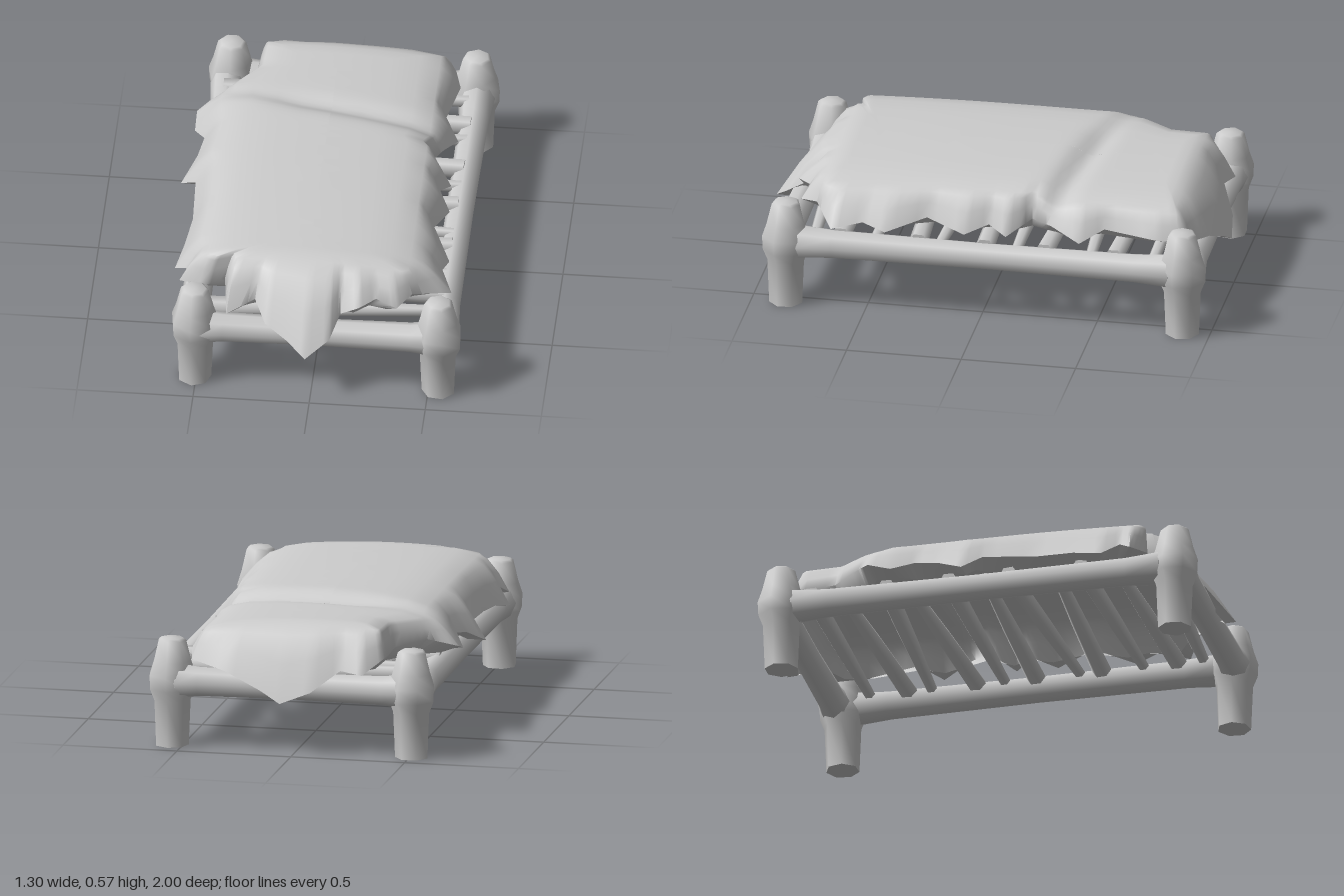
import * as THREE from 'three';
import { toCreasedNormals } from 'three/addons/utils/BufferGeometryUtils.js';

const { clamp, lerp, smoothstep } = THREE.MathUtils;
const grey = new THREE.MeshStandardMaterial({ color: 0xcccccc });
grey.name = 'plain grey';
const greySheet = new THREE.MeshStandardMaterial({ color: 0xcccccc, side: THREE.DoubleSide });
greySheet.name = 'plain grey sheet';

// Turned log from [radius, height] pairs, closed at both ends
function log(profile, sides, crease) {
  const pts = profile.map(([r, y]) => new THREE.Vector2(r, y));
  return toCreasedNormals(new THREE.LatheGeometry(pts, sides), crease);
}

// Log laid between two points
function logBetween(name, geo, a, b) {
  const mesh = new THREE.Mesh(geo, grey);
  const dir = b.clone().sub(a);
  mesh.name = name;
  mesh.position.copy(a);
  mesh.scale.y = dir.length();
  mesh.quaternion.setFromUnitVectors(new THREE.Vector3(0, 1, 0), dir.normalize());
  return mesh;
}

// Ragged hem of the hide: x, z, y, running anticlockwise seen from above
const hemPoints = [
  [-0.38, -0.86, 0.42], [-0.39, -0.68, 0.43], [-0.50, -0.55, 0.44], [-0.62, -0.48, 0.40],
  [-0.62, -0.38, 0.37], [-0.57, -0.28, 0.41], [-0.59, -0.18, 0.39], [-0.65, -0.06, 0.33],
  [-0.58, 0.02, 0.40], [-0.57, 0.25, 0.38], [-0.59, 0.42, 0.37], [-0.62, 0.55, 0.34],
  [-0.56, 0.62, 0.40], [-0.59, 0.67, 0.37], [-0.47, 0.72, 0.39], [-0.39, 0.70, 0.42],
  [-0.37, 0.86, 0.35], [-0.25, 0.81, 0.40], [-0.20, 0.90, 0.34], [-0.10, 0.95, 0.29],
  [-0.02, 1.00, 0.235], [0.08, 0.94, 0.30], [0.12, 0.84, 0.37], [0.20, 0.86, 0.42],
  [0.27, 0.80, 0.43], [0.36, 0.82, 0.40], [0.42, 0.74, 0.42], [0.58, 0.65, 0.37],
  [0.53, 0.52, 0.39], [0.55, 0.42, 0.36], [0.47, 0.25, 0.41], [0.52, 0.08, 0.365],
  [0.47, -0.02, 0.40], [0.51, -0.10, 0.365], [0.42, -0.20, 0.42], [0.46, -0.29, 0.41],
  [0.51, -0.42, 0.36], [0.45, -0.52, 0.41], [0.49, -0.75, 0.395], [0.46, -0.88, 0.38],
  [0.30, -0.95, 0.35], [0.14, -0.98, 0.28], [0.05, -1.00, 0.23], [-0.08, -0.98, 0.28],
  [-0.20, -0.92, 0.37], [-0.30, -0.95, 0.36],
];

// Height of the bedding: flat body, a fold on one side, then a lower pillow end
function bedHeight(x, z) {
  const body = 0.574 - 0.13 * (x + 0.1) ** 2 - 0.03 * Math.max(0, z) ** 2;
  const line = -0.36 + 0.16 * x;
  const fold = 0.028 * Math.exp(-(((z - line) / 0.06) ** 2)) * smoothstep(x, -0.4, -0.1);
  const pillow = 0.02 * smoothstep(line + 0.06 - z, 0, 0.1);
  return body - fold - pillow;
}

function hideGeometry() {
  // Finer hem, four steps between neighbouring points
  const hem = hemPoints.flatMap((p, i) => {
    const q = hemPoints[(i + 1) % hemPoints.length];
    return [0, 0.25, 0.5, 0.75].map(t => p.map((v, k) => lerp(v, q[k], t)));
  });
  const n = hem.length, idx = [];
  const shoulder = hem.map(([x, z]) => [clamp(x * 0.9, -0.46, 0.40), clamp(z * 0.97, -0.82, 0.71)]);

  // Hem curled inwards, overhang, then rings closing in on a central spine
  const rings = [hem.map(([x, z, y]) => [x * 0.87, Math.min(y, 0.362), z * 0.95])];
  for (const t of [0, 0.35, 0.7]) {
    rings.push(hem.map(([x, z, y], i) => {
      const [sx, sz] = shoulder[i];
      const top = bedHeight(sx, sz) - 0.015;
      return [lerp(x, sx, t), lerp(y, top, Math.sin(t * Math.PI / 2)), lerp(z, sz, t)];
    }));
  }
  for (const t of [0, 0.2, 0.45, 0.7, 1]) {
    rings.push(shoulder.map(([sx, sz]) => {
      const x = lerp(sx, -0.03, t), z = lerp(sz, clamp(sz, -0.64, 0.54), t);
      return [x, bedHeight(x, z) - (t === 0 ? 0.012 : 0), z];
    }));
  }
  for (let r = 0; r < rings.length - 1; r++) {
    for (let i = 0; i < n; i++) {
      const j = (i + 1) % n, a = r * n + i, b = r * n + j;
      idx.push(a, b, b + n, a, b + n, a + n);
    }
  }
  const geo = new THREE.BufferGeometry();
  geo.setAttribute('position', new THREE.Float32BufferAttribute(rings.flat(2), 3));
  geo.setIndex(idx);
  return toCreasedNormals(geo, 1.1);
}

export function createModel() {
  const model = new THREE.Group();
  const V = (x, y, z) => new THREE.Vector3(x, y, z);

  // Corner posts with a swollen joint at rail height and a rounded top
  const postGeo = log([[0, 0], [0.073, 0], [0.081, 0.2], [0.101, 0.25], [0.104, 0.31],
    [0.084, 0.37], [0.062, 0.46], [0.05, 0.47], [0, 0.472]], 7, 1.1);
  const corners = [[-0.508, -0.888], [0.549, -0.88], [-0.508, 0.851], [0.544, 0.851]];
  corners.forEach(([x, z], i) => {
    const post = new THREE.Mesh(postGeo, grey);
    post.name = 'cornerPost';
    post.position.set(x, 0, z);
    post.rotation.y = i * 1.3;
    model.add(post);
  });

  // Side and end rails, slightly flared where they meet the posts
  const railGeo = log([[0, 0], [0.076, 0.03], [0.064, 0.12], [0.059, 0.5],
    [0.064, 0.88], [0.076, 0.97], [0, 1]], 8, 1.2);
  const y = 0.288;
  model.add(
    logBetween('rightSideRail', railGeo, V(-0.518, y, -0.88), V(-0.515, y, 0.85)),
    logBetween('leftSideRail', railGeo, V(0.555, y, -0.88), V(0.552, y, 0.85)),
    logBetween('frontRail', railGeo, V(-0.51, y - 0.006, 0.863), V(0.55, y - 0.006, 0.863)),
    logBetween('backRail', railGeo, V(-0.51, y, -0.9), V(0.55, y, -0.9)),
  );

  // Uneven pole slats, alternately tapered and skewed
  const slatGeo = log([[0, 0], [0.024, 0], [0.036, 0.5], [0.042, 1], [0, 1]], 6, 1.1);
  for (let i = 0; i < 11; i++) {
    const z = -0.75 + i * 0.15, skew = 0.03 * Math.sin(i * 2.4);
    const a = V(-0.53, 0.325, z - skew), b = V(0.55, 0.325, z + skew);
    model.add(i % 2 ? logBetween('slat', slatGeo, a, b) : logBetween('slat', slatGeo, b, a));
  }

  // Draped hide bedding
  const hide = new THREE.Mesh(hideGeometry(), greySheet);
  hide.name = 'hideCover';
  model.add(hide);
  return model;
}
